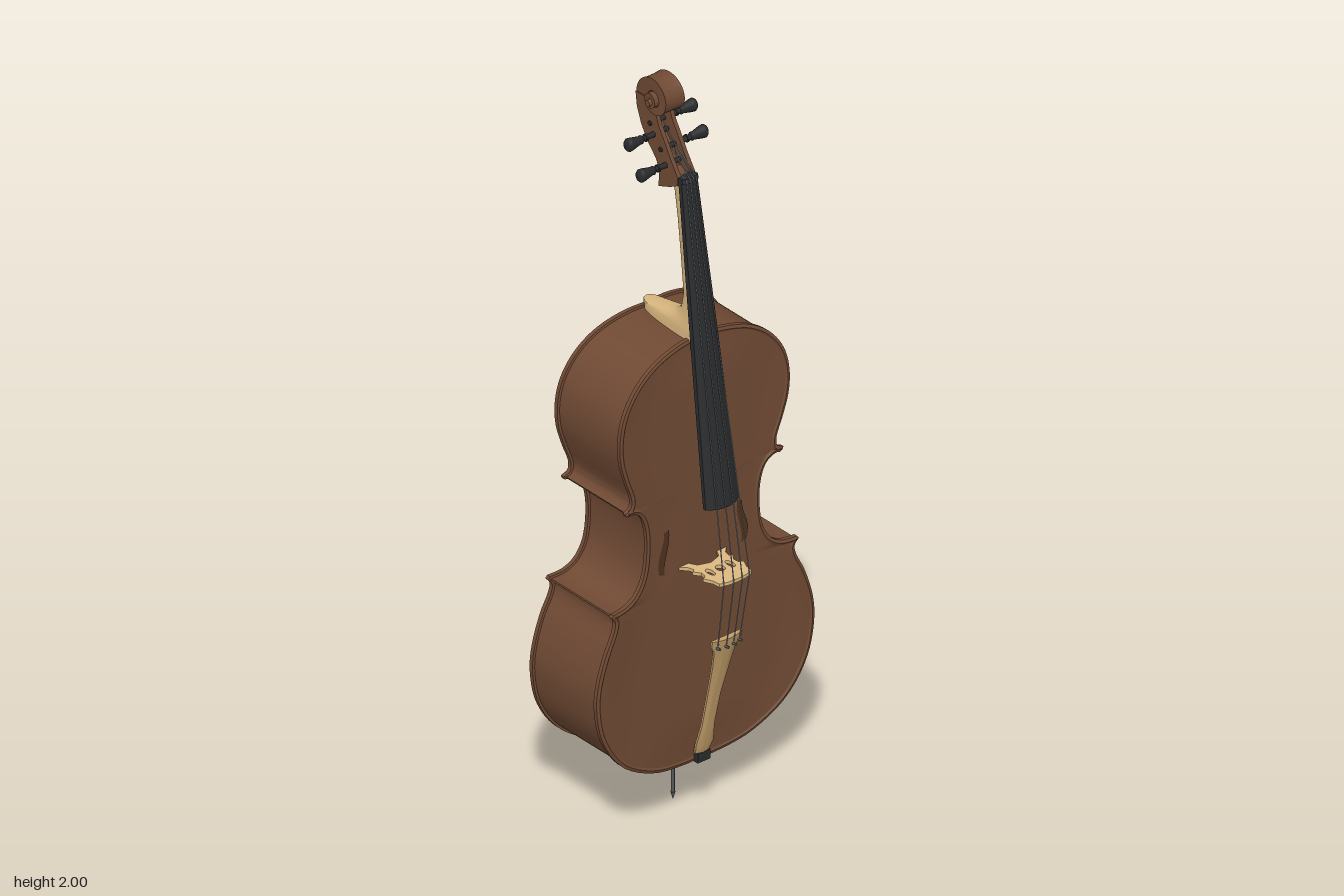
import * as THREE from 'three';
import { toCreasedNormals } from 'three/addons/utils/BufferGeometryUtils.js';

const V2 = (x, y) => new THREE.Vector2(x, y);
const V3 = (x, y, z) => new THREE.Vector3(x, y, z);
const paint = (name, color, side = THREE.FrontSide) => {
  const m = new THREE.MeshStandardMaterial({ color, side });
  m.name = name;
  return m;
};

export function createModel() {
  const root = new THREE.Group();
  root.name = 'cello';
  const varnish = paint('brown varnish', 0x704a34, THREE.DoubleSide);
  const shadowWood = paint('dark opening', 0x50321f, THREE.DoubleSide);
  const maple = paint('pale maple', 0xdcb981, THREE.DoubleSide);
  const boxwood = paint('boxwood', 0xc4a06a, THREE.DoubleSide);
  const ebony = paint('ebony', 0x2a2b2d, THREE.DoubleSide);
  const steel = paint('string steel', 0x8d979d);
  const silver = paint('silver', 0xa9acae);
  const darkSteel = paint('dark steel', 0x55585c);

  const add = (name, geo, mat, parent = root) => {
    const m = new THREE.Mesh(geo, mat);
    m.name = name;
    parent.add(m);
    return m;
  };
  const group = (name) => {
    const g = new THREE.Group();
    g.name = name;
    root.add(g);
    return g;
  };
  // Tapered round bar from a to b
  const rod = (name, a, b, r0, r1, mat, parent = root, sides = 8) => {
    const m = add(name, new THREE.CylinderGeometry(r1, r0, a.distanceTo(b), sides), mat, parent);
    m.position.copy(a).add(b).multiplyScalar(0.5);
    m.quaternion.setFromUnitVectors(V3(0, 1, 0), b.clone().sub(a).normalize());
    return m;
  };
  // Skin over rings of equal length, with optional end caps
  const loft = (rings, { closed = true, caps = true, crease = 0.6 } = {}) => {
    const pts = rings.flat(), n = rings[0].length, idx = [];
    for (let i = 0; i < rings.length - 1; i++) {
      for (let j = 0; j < (closed ? n : n - 1); j++) {
        const k = (j + 1) % n, a = i * n + j, b = i * n + k;
        idx.push(a, b, b + n, a, b + n, a + n);
      }
    }
    if (caps) {
      [0, rings.length - 1].forEach((r) => {
        const c = rings[r].reduce((s, p) => s.add(p), V3(0, 0, 0)).divideScalar(n);
        pts.push(c);
        for (let j = 0; j < n; j++) {
          const a = r * n + j, b = r * n + (j + 1) % n;
          idx.push(pts.length - 1, r ? a : b, r ? b : a);
        }
      });
    }
    const g = new THREE.BufferGeometry().setFromPoints(pts);
    g.setIndex(idx);
    g.computeVertexNormals();
    return toCreasedNormals(g, crease);
  };
  const curve = (list, n) => new THREE.CatmullRomCurve3(list.map(([x, y]) => V3(x, y, 0))).getPoints(n);

  // Right half of the body outline, bottom to top
  const half = [
    ...curve([[0, 0.16], [0.05, 0.162], [0.15, 0.18], [0.255, 0.24], [0.32, 0.335], [0.34, 0.43], [0.335, 0.495],
      [0.31, 0.575], [0.284, 0.63], [0.28, 0.655], [0.292, 0.671]], 48),
    ...curve([[0.287, 0.678], [0.245, 0.682], [0.212, 0.70], [0.187, 0.74], [0.176, 0.81], [0.18, 0.875], [0.195, 0.914],
      [0.215, 0.93], [0.244, 0.935]], 36),
    ...curve([[0.247, 0.943], [0.229, 0.952], [0.226, 0.975], [0.245, 1.03], [0.262, 1.09], [0.265, 1.15], [0.25, 1.215],
      [0.21, 1.275], [0.15, 1.318], [0.07, 1.341], [0, 1.345]], 48),
  ];
  const outline = [...half, ...half.slice(1, -1).reverse().map((p) => V3(-p.x, p.y, 0))];
  const inset = (d) => outline.map((p, i) => {
    const n = outline.length, t = outline[(i + 1) % n].clone().sub(outline[(i + n - 1) % n]).normalize();
    return V3(p.x - t.y * d, p.y + t.x * d, 0);
  });
  const frontZ = (x) => 0.044 + 0.021 * Math.min(1, Math.abs(x) / 0.3);
  const backZ = (x) => -0.156 - 0.028 * Math.min(1, Math.abs(x) / 0.3);
  const layer = (d, zOf, dz) => inset(d).map((p) => V3(p.x, p.y, zOf(p.x) + dz));

  // Ribs and the overhanging plate edges
  const body = group('body');
  add('ribsAndEdges', loft([
    layer(0.016, backZ, 0.002), layer(0.008, backZ, -0.003), layer(0, backZ, 0), layer(0, backZ, 0.011),
    layer(0.006, backZ, 0.012), layer(0.006, frontZ, -0.012), layer(0, frontZ, -0.011), layer(0, frontZ, 0),
    layer(0.008, frontZ, 0.003), layer(0.016, frontZ, -0.002),
  ], { caps: false }), varnish, body);

  // Gently shaped front and back plates
  const plateZ = (x, y, w, edge, middle) => {
    const d = Math.min(w - Math.abs(x), y - 0.16, 1.345 - y);
    return THREE.MathUtils.lerp(edge(x), middle, THREE.MathUtils.smoothstep(d, 0, 0.14));
  };
  const plate = (edge, middle, dir) => loft(half.map((p) => {
    const row = [];
    for (let j = 0; j <= 28; j++) {
      const x = dir * p.x * (j / 14 - 1);
      row.push(V3(x, p.y, plateZ(x, p.y, p.x, edge, middle)));
    }
    return row;
  }), { closed: false, caps: false, crease: 1 });
  add('frontPlate', plate(frontZ, 0.055, 1), varnish, body);
  add('backPlate', plate(backZ, -0.177, -1), varnish, body);

  // Slender sound holes
  for (const s of [1, -1]) {
    const sh = new THREE.Shape();
    sh.moveTo(s * 0.106, 0.845);
    sh.bezierCurveTo(s * 0.102, 0.79, s * 0.125, 0.77, s * 0.12, 0.722);
    sh.lineTo(s * 0.137, 0.728);
    sh.bezierCurveTo(s * 0.15, 0.78, s * 0.118, 0.8, s * 0.122, 0.84);
    const g = new THREE.ShapeGeometry(sh, 10), p = g.attributes.position;
    for (let i = 0; i < p.count; i++) p.setZ(i, plateZ(p.getX(i), p.getY(i), 0.18, frontZ, 0.055) + 0.0025);
    g.computeVertexNormals();
    add(s > 0 ? 'leftSoundHole' : 'rightSoundHole', g, shadowWood, body);
  }

  // Neck and heel: half-round sections [y, front z, back z, half width]
  add('neck', loft([
    [1.335, 0.05, -0.154, 0.036], [1.362, 0.05, -0.156, 0.036], [1.37, 0.049, -0.11, 0.035], [1.378, 0.047, -0.068, 0.034],
    [1.388, 0.046, -0.035, 0.033], [1.405, 0.043, -0.01, 0.031], [1.45, 0.037, 0.0, 0.029], [1.55, 0.023, -0.011, 0.027],
    [1.65, 0.009, -0.025, 0.024], [1.71, 0.0, -0.036, 0.023], [1.75, -0.004, -0.042, 0.023],
  ].map(([y, f, b, h]) => Array.from({ length: 17 }, (_, i) => {
    const a = Math.PI * (0.5 + i / 16), s = Math.sin(a);
    return V3(h * Math.sign(s) * Math.abs(s) ** 0.7, y, f + (f - b) * Math.cos(a));
  })), { crease: 0.9 }), maple);

  // Arched bars: rows of [y, half width, crown z, drop, thickness]
  const arched = (rows) => loft(rows.map(([y, h, z, drop, t]) => {
    const ring = [];
    for (let k = -1; k <= 1.001; k += 0.2) ring.push(V3(h * k, y, z - drop * k * k));
    ring.push(V3(h, y, z - drop - t), V3(-h, y, z - drop - t));
    return ring;
  }));
  add('fingerboard', arched([[0.91, 0.052, 0.148, 0.02, 0.01], [1.35, 0.038, 0.079, 0.013, 0.014], [1.755, 0.025, 0.013, 0.007, 0.012]]), ebony);
  add('nut', arched([[1.755, 0.025, 0.016, 0.006, 0.018], [1.768, 0.025, 0.013, 0.006, 0.018]]), ebony);
  add('tailpiece', arched([
    [0.185, 0.022, 0.06, 0.006, 0.006], [0.21, 0.027, 0.069, 0.007, 0.006], [0.27, 0.02, 0.083, 0.007, 0.006], [0.36, 0.021, 0.105, 0.008, 0.006],
    [0.46, 0.028, 0.134, 0.009, 0.006], [0.51, 0.034, 0.148, 0.01, 0.006], [0.53, 0.046, 0.154, 0.011, 0.006], [0.548, 0.047, 0.158, 0.011, 0.006],
  ]), boxwood);
  add('saddle', new THREE.BoxGeometry(0.04, 0.026, 0.02), ebony).position.set(0, 0.172, 0.05);

  // Bridge, upright on the front plate
  const side = [[0.05, 0.177], [0.053, 0.155], [0.064, 0.132], [0.052, 0.126], [0.05, 0.11], [0.063, 0.092], [0.054, 0.088],
    [0.057, 0.072], [0.076, 0.053], [0.045, 0.053], [0.033, 0.075]];
  const bridge = new THREE.Shape([V2(0, 0.185), V2(0.028, 0.183), ...side.map(([x, z]) => V2(x, z)), V2(0, 0.086),
    ...side.slice().reverse().map(([x, z]) => V2(-x, z)), V2(-0.028, 0.183)]);
  bridge.holes.push(new THREE.Path().absellipse(0, 0.12, 0.011, 0.014, 0, Math.PI * 2));
  for (const s of [1, -1]) bridge.holes.push(new THREE.Path().absellipse(s * 0.031, 0.12, 0.008, 0.017, 0, Math.PI * 2));
  add('bridge', new THREE.ExtrudeGeometry(bridge, { depth: 0.009, bevelEnabled: false }).rotateX(Math.PI / 2).translate(0, 0.7265, 0), maple);

  // Pegbox: two cheeks and a back wall, drawn in z and y
  const head = group('pegboxAndScroll');
  const slab = (name, pts, x0, x1) => add(name, new THREE.ExtrudeGeometry(
    new THREE.Shape(pts.map(([z, y]) => V2(-z, y))), { depth: x1 - x0, bevelEnabled: false },
  ).rotateY(Math.PI / 2).translate(x0, 0, 0), varnish, head);
  const rear = [[-0.078, 1.713], [-0.074, 1.76], [-0.088, 1.787], [-0.118, 1.82], [-0.142, 1.858], [-0.158, 1.9], [-0.163, 1.94]];
  const fore = [[-0.115, 1.94], [-0.086, 1.905], [-0.076, 1.88], [-0.056, 1.848], [-0.034, 1.81], [-0.006, 1.768], [-0.008, 1.745], [-0.035, 1.73]];
  for (const s of [1, -1]) slab('pegboxCheek', [...rear, ...fore], s > 0 ? 0.016 : -0.027, s > 0 ? 0.027 : -0.016);
  slab('pegboxBack', [...rear, [-0.12, 1.94], [-0.115, 1.9], [-0.118, 1.87], [-0.1, 1.84], [-0.07, 1.808], [-0.05, 1.77], [-0.008, 1.76], [-0.008, 1.745], [-0.035, 1.73]], -0.017, 0.017);

  // Scroll: a spiral band that steps outwards towards the eye
  const volute = [];
  for (let i = 0; i <= 110; i++) {
    const a = -0.35 + (i / 110) * (4 * Math.PI + 0.35), R = 0.071 * Math.exp(-0.15 * a), r = R * 0.42;
    const w = 0.024 + 0.024 * Math.max(0, a) / (4 * Math.PI);
    const at = (x, q) => V3(x, 1.945 + q * Math.sin(a), -0.092 - q * Math.cos(a));
    volute.push([at(-w, r), at(-w, R), at(-w * 0.6, R * 0.97), at(w * 0.6, R * 0.97), at(w, R), at(w, r)]);
  }
  add('scroll', loft(volute, { crease: 0.5 }), varnish, head);
  rod('scrollEye', V3(-0.05, 1.945, -0.092), V3(0.05, 1.945, -0.092), 0.009, 0.009, varnish, head, 16);

  // Tuning pegs [side, y, z, string x]
  const pegs = [[-1, 1.785, -0.05, -0.015], [-1, 1.85, -0.095, -0.005], [1, 1.875, -0.108, 0.005], [1, 1.82, -0.068, 0.015]];
  const profile = [[0, 0], [0.009, 0], [0.012, 0.004], [0.011, 0.01], [0.017, 0.036], [0.018, 0.044], [0.014, 0.049], [0, 0.051]];
  pegs.forEach(([s, y, z]) => {
    const g = group('tuningPeg');
    rod('pegShaft', V3(-s * 0.031, y, z), V3(s * 0.066, y, z), 0.006, 0.0075, ebony, g, 14);
    rod('pegCollar', V3(s * 0.05, y, z), V3(s * 0.055, y, z), 0.01, 0.01, ebony, g, 14);
    const knob = add('pegHead', new THREE.LatheGeometry(profile.map(([r, h]) => V2(r, h)), 16), ebony, g);
    knob.rotation.z = -s * Math.PI / 2;
    knob.position.set(s * 0.063, y, z);
    knob.scale.z = 0.85;
  });

  // Strings from peg over nut and bridge to tailpiece, with fine tuners
  const strings = group('strings');
  pegs.forEach(([, py, pz, x], i) => {
    const u = (i - 1.5) / 1.5, nut = V3(x, 1.764, 0.016 - 0.003 * u * u);
    const top = V3(u * 0.04, 0.722, 0.187 - 0.006 * u * u), tail = V3(u * 0.034, 0.535, 0.158 - 0.006 * u * u);
    [[V3(x, py, pz + 0.006), nut], [nut, top], [top, tail]].forEach(([a, b]) => rod('string', a, b, 0.0015, 0.0015, steel, strings, 6));
    rod('fineTuner', tail.clone().add(V3(0, -0.008, -0.004)), tail.clone().add(V3(0, -0.006, 0.008)), 0.0035, 0.0035, darkSteel, strings, 10);
  });

  // Endpin with collar, thumbscrew and spike
  const pin = group('endpin');
  for (const s of [1, -1]) rod('tailCord', V3(s * 0.01, 0.195, 0.056), V3(s * 0.008, 0.152, -0.045), 0.002, 0.002, ebony, pin);
  rod('endpinPlug', V3(0, 0.142, -0.056), V3(0, 0.17, -0.056), 0.018, 0.02, ebony, pin, 20);
  rod('endpinCollar', V3(0, 0.105, -0.056), V3(0, 0.143, -0.056), 0.014, 0.016, silver, pin, 20);
  rod('thumbscrewStem', V3(-0.03, 0.128, -0.056), V3(0, 0.128, -0.056), 0.004, 0.004, silver, pin, 10);
  rod('thumbscrewHead', V3(-0.04, 0.128, -0.056), V3(-0.026, 0.128, -0.056), 0.011, 0.011, silver, pin, 14);
  rod('endpinRod', V3(0, 0.018, -0.056), V3(0, 0.11, -0.056), 0.0045, 0.0045, darkSteel, pin, 12);
  rod('endpinSpike', V3(0, 0, -0.056), V3(0, 0.02, -0.056), 0.0005, 0.006, darkSteel, pin, 12);
  return root;
}
